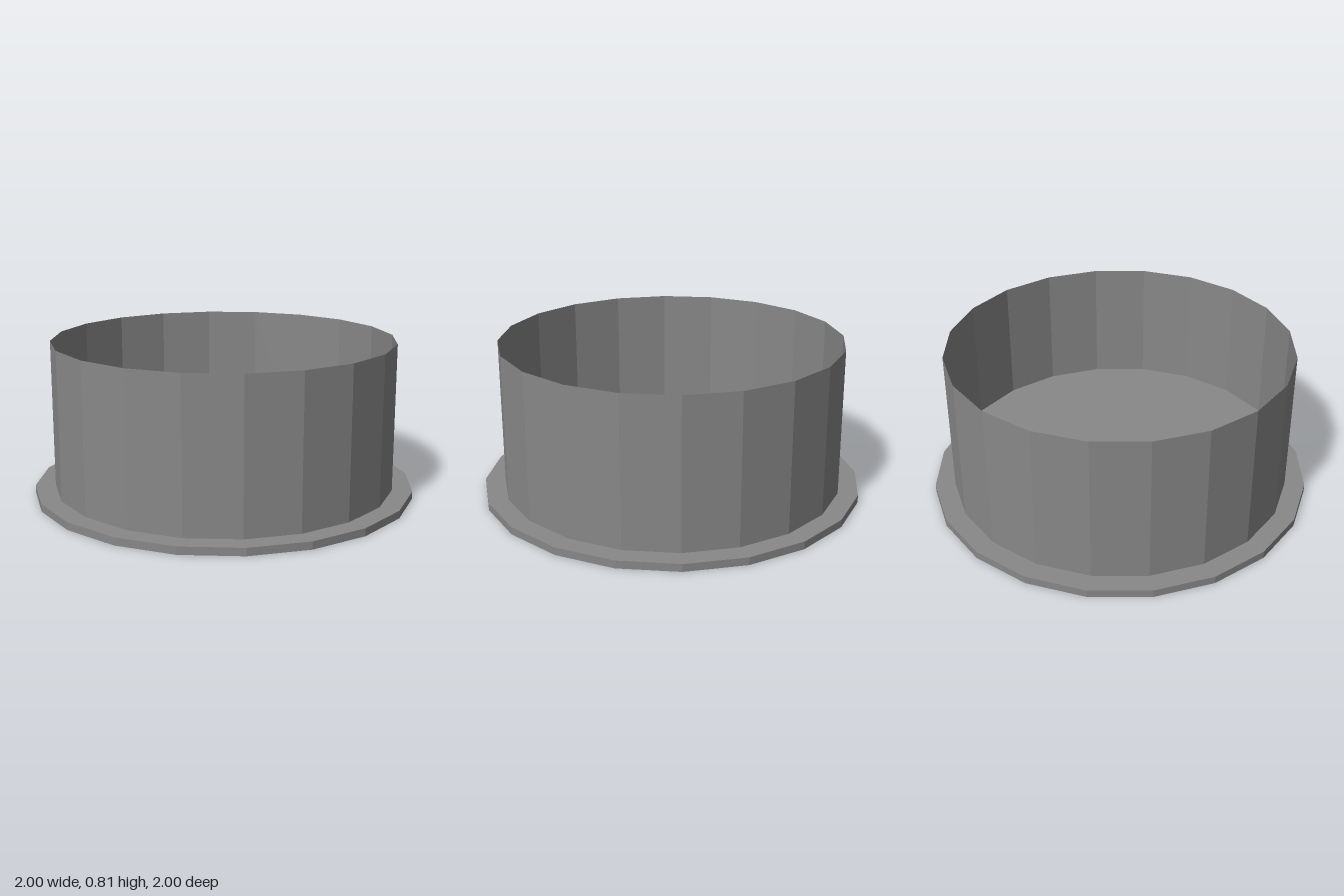
import * as THREE from 'three';

const SIDES = 20;
const BASE_RADIUS = 1, BASE_HEIGHT = 0.04;
const WALL_RADIUS = 0.895, TOP = 0.812, FLOOR = 0.155;
const COLOR = 0x888888;

export function createModel() {
  const group = new THREE.Group();
  group.name = 'openDrum';
  const solid = new THREE.MeshStandardMaterial({ color: COLOR, flatShading: true });
  const thin = new THREE.MeshStandardMaterial({ color: COLOR, flatShading: true, side: THREE.DoubleSide });

  const add = (name, geometry, material, y) => {
    const mesh = new THREE.Mesh(geometry, material);
    mesh.name = name;
    mesh.position.y = y;
    group.add(mesh);
  };

  // Flat flange closing the underside
  add('baseFlange', new THREE.CylinderGeometry(BASE_RADIUS, BASE_RADIUS, BASE_HEIGHT, SIDES), solid, BASE_HEIGHT / 2);

  // Thin upright wall, open at the top
  const wallHeight = TOP - BASE_HEIGHT;
  add('wall', new THREE.CylinderGeometry(WALL_RADIUS, WALL_RADIUS, wallHeight, SIDES, 1, true), thin,
    BASE_HEIGHT + wallHeight / 2);

  // Raised floor inside the wall
  add('innerFloor', new THREE.CircleGeometry(WALL_RADIUS, SIDES).rotateX(-Math.PI / 2), thin, FLOOR);

  return group;
}
